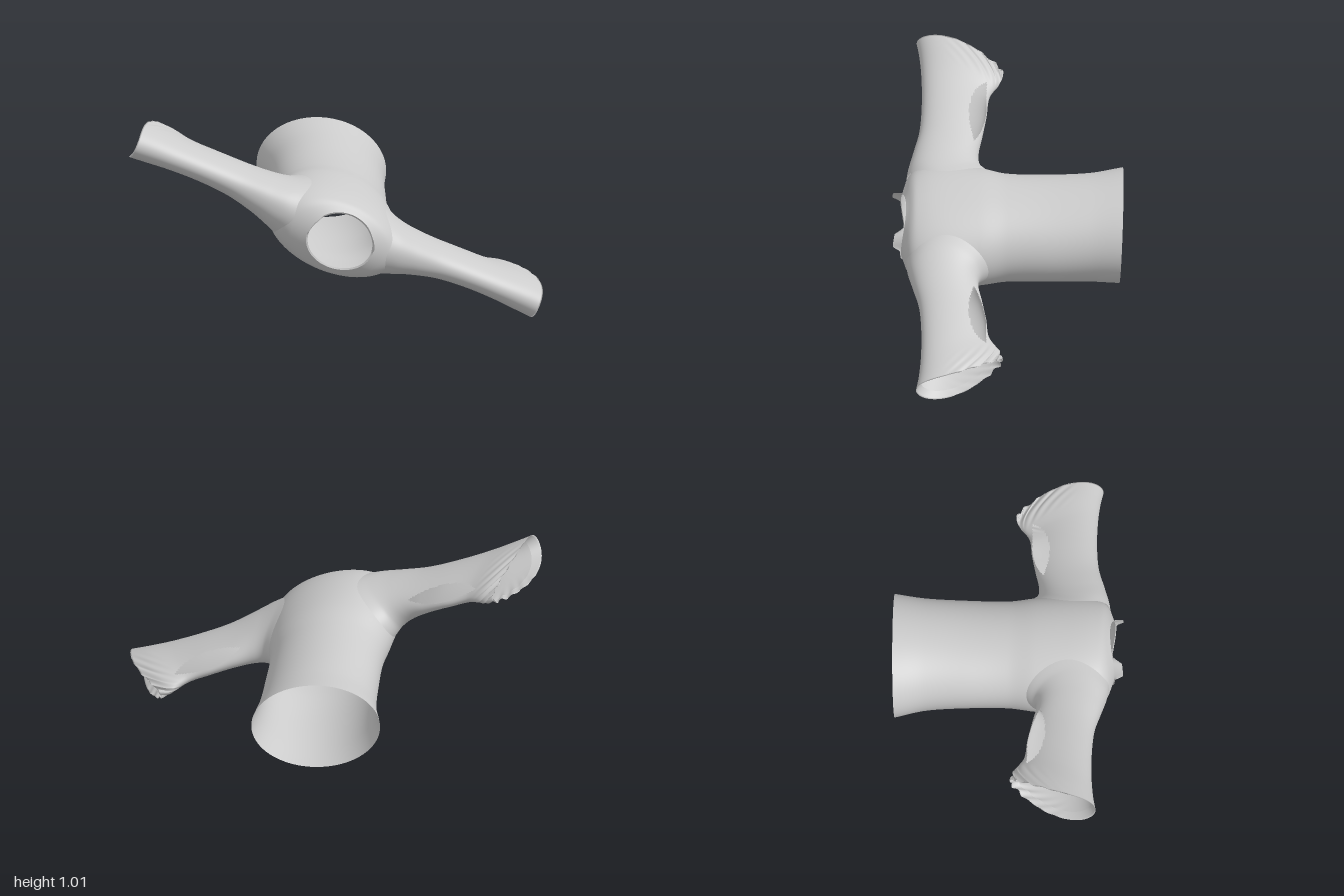
import * as THREE from 'three';

const TAU = Math.PI * 2;
const cloth = new THREE.MeshStandardMaterial({ color: 0xcccccc, side: THREE.DoubleSide });

// Smooth interpolation through rows of [position, ...values]
function sample(keys, s) {
  let i = 0;
  while (i < keys.length - 2 && s > keys[i + 1][0]) i++;
  const a = keys[i], b = keys[i + 1];
  const p = keys[Math.max(i - 1, 0)], n = keys[Math.min(i + 2, keys.length - 1)];
  const h = b[0] - a[0], t = THREE.MathUtils.clamp((s - a[0]) / h, 0, 1);
  return a.slice(1).map((av, k) => {
    const bv = b[k + 1];
    const m0 = (bv - p[k + 1]) / (b[0] - p[0]) * h;
    const m1 = (n[k + 1] - av) / (n[0] - a[0]) * h;
    return av * (1 + 2 * t) * (1 - t) ** 2 + bv * t * t * (3 - 2 * t)
      + m0 * t * (1 - t) ** 2 - m1 * t * t * (1 - t);
  });
}

// Closed-ring surface from a point rule; keep() leaves openings
function loft(name, rows, cols, point, flip = false, keep = () => true) {
  const pos = [], idx = [];
  for (let i = 0; i <= rows; i++)
    for (let j = 0; j < cols; j++) pos.push(...point(i / rows, j / cols * TAU));
  for (let i = 0; i < rows; i++)
    for (let j = 0; j < cols; j++) {
      if (!keep((i + 0.5) / rows, (j + 0.5) / cols * TAU)) continue;
      const a = i * cols + j, b = i * cols + (j + 1) % cols, c = b + cols, d = a + cols;
      idx.push(...(flip ? [a, d, b, b, d, c] : [a, b, d, b, c, d]));
    }
  const g = new THREE.BufferGeometry();
  g.setAttribute('position', new THREE.Float32BufferAttribute(pos, 3));
  g.setIndex(idx);
  g.computeVertexNormals();
  const mesh = new THREE.Mesh(g, cloth);
  mesh.name = name;
  return mesh;
}

// Torso sections: z, centre x, centre y, half width, half height, roll
const TORSO = [
  [-0.55, 0.002, -0.059, 0.316, 0.25, 0.2],
  [-0.4, 0.014, -0.06, 0.29, 0.233, 0.13],
  [-0.2, 0.02, -0.06, 0.285, 0.22, 0.06],
  [0, 0.02, -0.057, 0.287, 0.218, 0.03],
  [0.13, 0.018, -0.052, 0.315, 0.222, 0],
  [0.27, 0.015, -0.048, 0.337, 0.217, 0],
  [0.37, 0.015, -0.042, 0.332, 0.203, 0],
  [0.44, 0.018, -0.038, 0.308, 0.183, 0],
  [0.485, 0.022, -0.034, 0.255, 0.16, 0],
  [0.512, 0.028, -0.034, 0.16, 0.137, 0],
];

// Sleeve sections: fraction from shoulder to cuff, back z, front z, centre y, half thickness
const SLEEVE = [
  [0, 0.09, 0.488, -0.02, 0.148],
  [0.07, 0.13, 0.48, -0.014, 0.127],
  [0.18, 0.138, 0.458, -0.008, 0.103],
  [0.35, 0.12, 0.425, -0.003, 0.081],
  [0.55, 0.1, 0.413, 0, 0.073],
  [0.75, 0.085, 0.415, 0, 0.074],
  [0.9, 0.035, 0.425, 0, 0.083],
  [1, 0.025, 0.438, 0, 0.085],
];
const ROOT = SLEEVE[0];
const rootZ = (ROOT[1] + ROOT[2]) / 2, rootW = (ROOT[2] - ROOT[1]) / 2;

function torsoPoint(z, a) {
  const [cx, cy, w, h, roll] = sample(TORSO, z);
  const x = w * Math.cos(a), y = h * Math.sin(a);
  const c = Math.cos(roll), s = Math.sin(roll);
  // the neck edge dips at the middle of front and back
  const scoop = 0.025 * Math.sin(a) ** 2 * THREE.MathUtils.smoothstep(z, 0.43, 0.51);
  return [cx + x * c - y * s, cy + x * s + y * c, z - scoop];
}

function makeTorso() {
  const zAt = s => -0.55 + 1.062 * s;
  return loft('torso', 100, 96, (s, a) => {
    const p = torsoPoint(zAt(s), a);
    p[2] -= 0.012 * Math.sin(a) * Math.max(0, 1 - s * 4);
    return p;
  }, false, (s, a) => {
    // armholes
    const [, y, z] = torsoPoint(zAt(s), a);
    return Math.hypot((z - rootZ) / rootW, (y - ROOT[3]) / ROOT[4]) > 0.94;
  });
}

function makeSleeve(name, side) {
  const CUFF = 0.95; // rows after this fold back inside as the hem
  return loft(name, 120, 120, (s, a) => {
    const fold = Math.max(0, (s - CUFF) / (1 - CUFF));
    const t = Math.min(1, s / CUFF) - 0.06 * fold;
    const [back, front, cy, h] = sample(SLEEVE, t);
    const w = (front - back) / 2, shrink = 1 - 0.08 * fold;
    const c = Math.cos(a), d = Math.sin(a);
    // crumpled cloth at the back of the cuff
    const crumple = 0.006 * Math.max(0, t - 0.82) * 5 * Math.max(0, 0.4 - c);
    const z = (back + front) / 2 + w * shrink * c + crumple * Math.sin(a * 13 + t * 60);
    // towards the cuff the section is a teardrop, fuller at the front
    const y = cy + h * shrink * d * (1 + 0.25 * t * c) + crumple * Math.sin(a * 17 + t * 90);
    // the root lies on the torso, the cuff is cut on a curved slant
    const zr = rootZ + rootW * c, yr = ROOT[3] + ROOT[4] * d;
    const [tx, ty, tw, th] = sample(TORSO, zr);
    const q = Math.min(0.98, Math.abs((yr - ty) / th));
    const xRoot = side * tx + tw * Math.sqrt(1 - q * q);
    const xCuff = 1.066 - 0.18 * ((1 - c) / 2) ** 2;
    return [side * THREE.MathUtils.lerp(xRoot, xCuff, t), y, z];
  }, side > 0, (s, a) => {
    // lens-shaped tear along the upper back edge
    const k = (s / CUFF - 0.55) / 0.27;
    return Math.abs(k) > 1 || Math.abs(a - 2.5) > 0.44 * (1 - k * k);
  });
}

function makeCollar() {
  const bump = (a, at, r) => Math.max(0, Math.min(1, 2.2 - 2.2 * Math.abs(a - at) / r));
  return loft('tornCollar', 3, 96, (s, a) => {
    const p = torsoPoint(0.512, a);
    const rise = 0.004 + 0.038 * Math.max(bump(a, 2.85, 0.42), bump(a, 0.5, 0.4));
    return [p[0] + 0.008 * s * Math.cos(a), p[1] + 0.008 * s * Math.sin(a), p[2] + rise * s];
  });
}

export function createModel() {
  const model = new THREE.Group();
  model.name = 'shirt';
  const body = new THREE.Group();
  body.name = 'tiltedShirt';
  body.add(makeTorso(), makeSleeve('leftSleeve', 1), makeSleeve('rightSleeve', -1), makeCollar());
  body.rotation.z = THREE.MathUtils.degToRad(-24);
  body.position.y = 0.505;
  model.add(body);
  return model;
}
